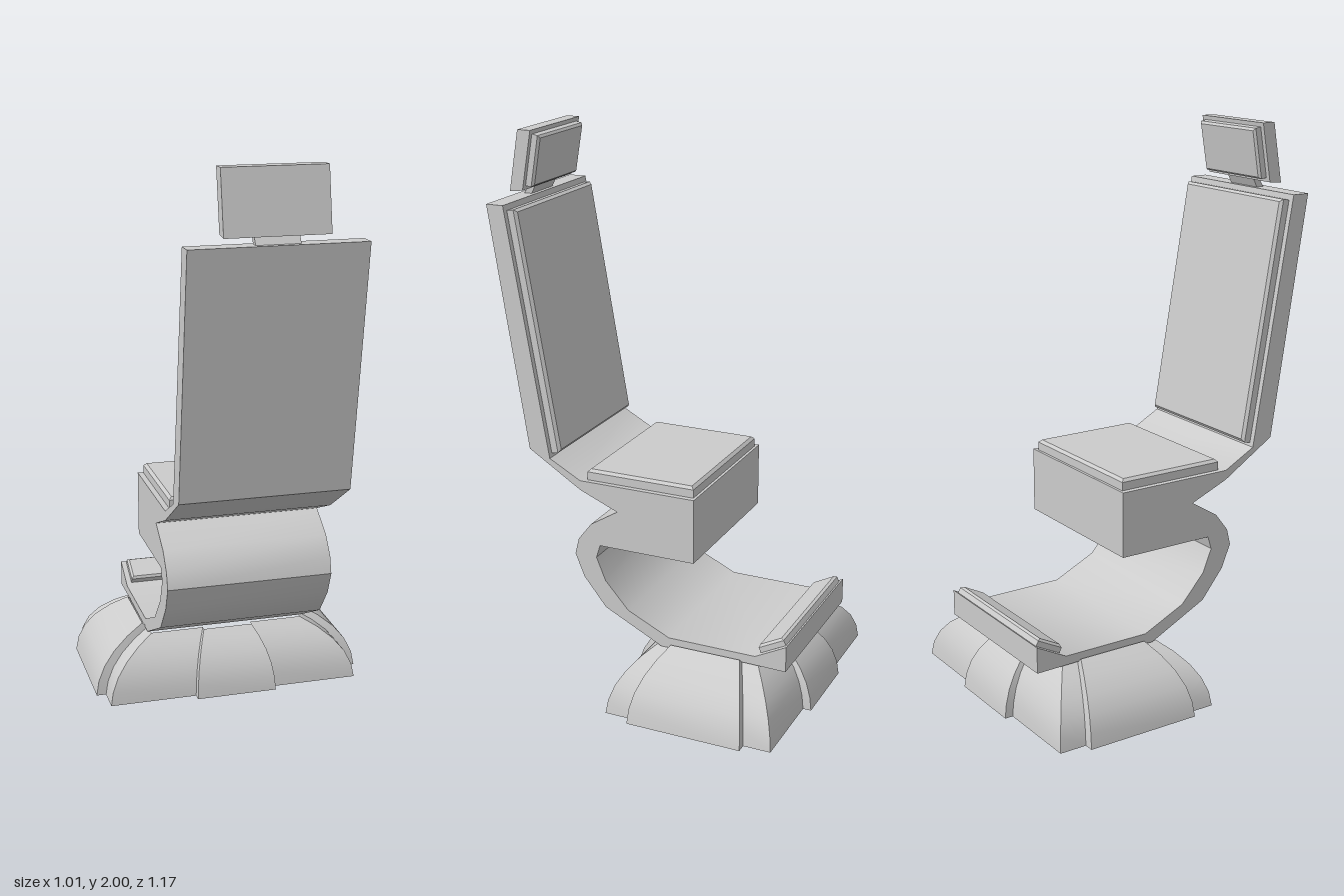
import * as THREE from 'three';
import { toCreasedNormals } from 'three/addons/utils/BufferGeometryUtils.js';

const material = new THREE.MeshStandardMaterial({ color: 0xcccccc });
const shellMaterial = new THREE.MeshStandardMaterial({ color: 0xcccccc, side: THREE.DoubleSide });

function addMesh(group, name, geometry, mat = material) {
  const mesh = new THREE.Mesh(geometry, mat);
  mesh.name = name;
  group.add(mesh);
  return mesh;
}

// Side profile of [z, y] points, extruded across the width
function sideExtrude(points, width) {
  const shape = new THREE.Shape(points.map(([z, y]) => new THREE.Vector2(z, y)));
  const g = new THREE.ExtrudeGeometry(shape, { depth: width, bevelEnabled: false });
  g.translate(0, 0, -width / 2).rotateY(-Math.PI / 2);
  return toCreasedNormals(g, 0.6);
}

// Bevelled pad lying on the line a -> b ([z, y]), rising along its normal
function pad(width, thickness, bevel, a, b) {
  const start = new THREE.Vector3(0, a[1], a[0]);
  const dir = new THREE.Vector3(0, b[1], b[0]).sub(start);
  const length = dir.length();
  dir.normalize();
  const w = width / 2 - bevel;
  const shape = new THREE.Shape([
    new THREE.Vector2(-w, bevel), new THREE.Vector2(w, bevel),
    new THREE.Vector2(w, length - bevel), new THREE.Vector2(-w, length - bevel),
  ]);
  const g = new THREE.ExtrudeGeometry(shape, {
    depth: thickness - bevel, bevelThickness: bevel, bevelSize: bevel, bevelSegments: 1,
  });
  const across = new THREE.Vector3(1, 0, 0);
  const normal = across.clone().cross(dir);
  g.applyMatrix4(new THREE.Matrix4().makeBasis(across, dir, normal).setPosition(start));
  return g;
}

// Open domed shell: a stepped rectangle that shrinks as it rises
function baseShell() {
  const corner = [[0.505, 0.215, 1.08], [0.47, 0.215, 1], [0.47, 0.315, 1], [0.15, 0.315, 1], [0.15, 0.345, 1]];
  const mirrored = (sx, sz) => corner.map(([x, z, lift]) => [x * sx, z * sz, lift]);
  const ring = [
    ...mirrored(1, 1), ...mirrored(-1, 1).reverse(),
    ...mirrored(-1, -1), ...mirrored(1, -1).reverse(),
  ];
  const levels = [[0, 1], [0.05, 0.98], [0.1, 0.93], [0.145, 0.85], [0.185, 0.74], [0.217, 0.615]];
  const positions = [], index = [], n = ring.length;
  levels.forEach(([y, s], j) => {
    ring.forEach(([x, z, lift], i) => {
      positions.push(x * s, y * lift, z * s - 0.245);
      if (j === 0) return;
      const k = (i + 1) % n, lo = (j - 1) * n, hi = j * n;
      index.push(lo + i, hi + k, lo + k, lo + i, hi + i, hi + k);
    });
  });
  const g = new THREE.BufferGeometry();
  g.setAttribute('position', new THREE.Float32BufferAttribute(positions, 3));
  g.setIndex(index);
  return toCreasedNormals(g, 0.6);
}

export function createModel() {
  const group = new THREE.Group();
  group.name = 'chair';

  addMesh(group, 'base', baseShell(), shellMaterial);

  // One continuous frame: backrest, seat box, curved support and footrest
  addMesh(group, 'frame', sideExtrude([
    [0.585, 1.76], [0.52, 1.76], [0.365, 0.865], [0.245, 0.8],
    [-0.195, 0.8], [-0.195, 0.563], [0.17, 0.563],
    [0.185, 0.515], [0.15, 0.43], [0.06, 0.33], [-0.1, 0.255],
    [-0.43, 0.255], [-0.545, 0.315], [-0.545, 0.22], [-0.39, 0.222], [-0.07, 0.216],
    [0.15, 0.325], [0.235, 0.43], [0.27, 0.515], [0.255, 0.575], [0.205, 0.64],
    [0.1, 0.705], [0.245, 0.765], [0.445, 0.89],
  ], 0.6));

  // Cushions
  addMesh(group, 'seatCushion', pad(0.56, 0.04, 0.01, [0.225, 0.8], [-0.185, 0.8]));
  addMesh(group, 'backCushion', pad(0.56, 0.035, 0.01, [0.516, 1.74], [0.367, 0.878]));
  addMesh(group, 'footrestPad', pad(0.56, 0.028, 0.008, [-0.445, 0.263], [-0.537, 0.311]));

  // Headrest
  addMesh(group, 'headrestNeck', sideExtrude(
    [[0.57, 1.75], [0.54, 1.75], [0.515, 1.8], [0.54, 1.8]], 0.15));
  addMesh(group, 'headrest', sideExtrude(
    [[0.525, 2], [0.475, 2], [0.512, 1.79], [0.562, 1.785]], 0.355));
  addMesh(group, 'headrestCushion', pad(0.32, 0.03, 0.008, [0.478, 1.985], [0.509, 1.805]));

  return group;
}
